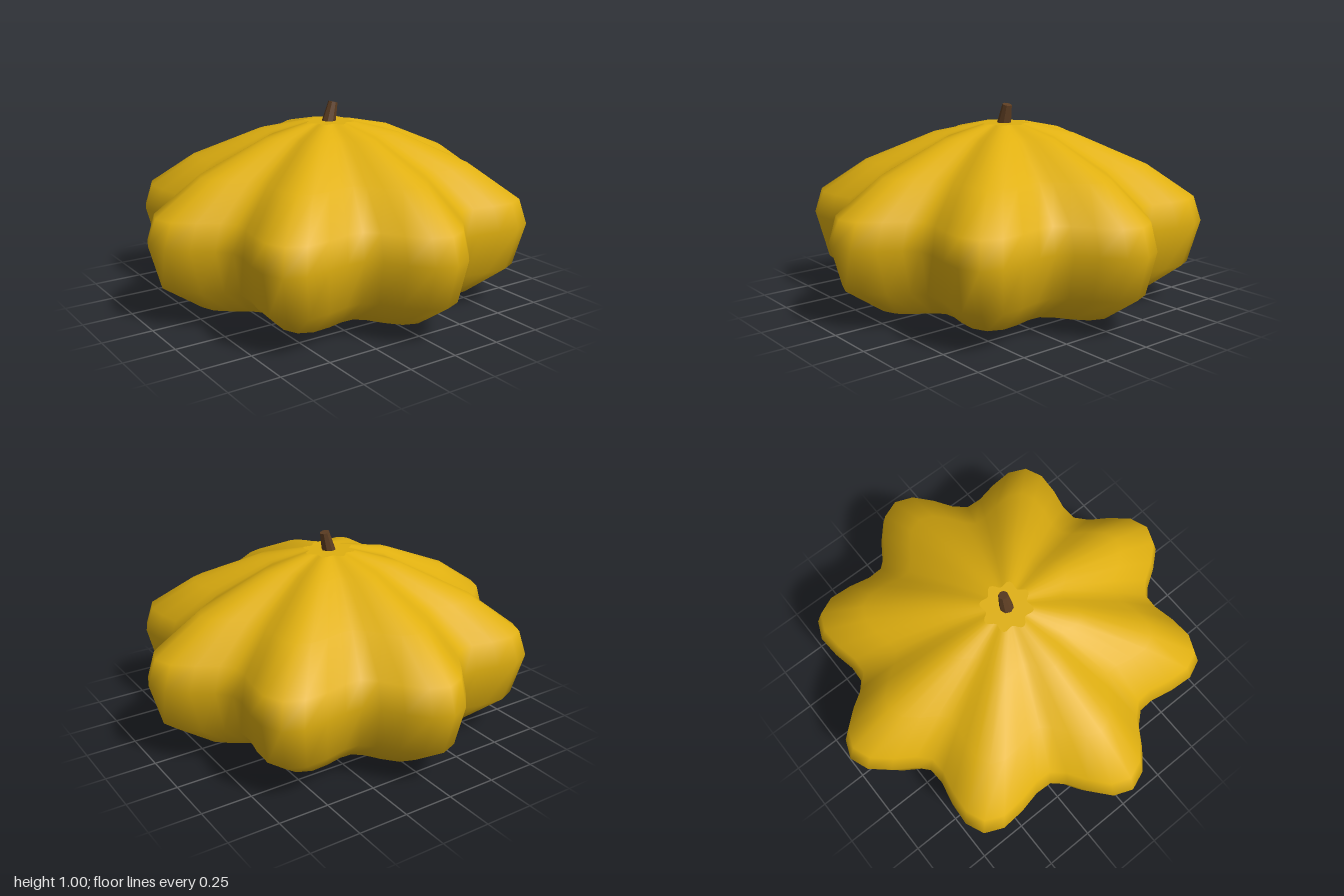
import * as THREE from 'three';

const SEGMENTS = 64;
const LOBES = 8;

// Side profile along a lobe crest, bottom to top: [radius, height]
const PROFILE = [
  [0.40, 0], [0.74, 0.06], [0.94, 0.20], [1.0, 0.415], [0.96, 0.54],
  [0.72, 0.70], [0.36, 0.85], [0.13, 0.90],
];

// Point on the scalloped outline
function lobePoint(radius, i) {
  const a = (i / SEGMENTS) * Math.PI * 2;
  const r = radius * (0.89 + 0.11 * Math.cos(LOBES * a));
  return [r * Math.sin(a), r * Math.cos(a)];
}

function makeGeometry(positions, indices) {
  const g = new THREE.BufferGeometry();
  g.setAttribute('position', new THREE.Float32BufferAttribute(positions, 3));
  g.setIndex(indices);
  g.computeVertexNormals();
  return g;
}

// Smooth ribbed side: one scalloped ring per profile point
function ribbedSide() {
  const positions = [], indices = [];
  PROFILE.forEach(([radius, y], row) => {
    for (let i = 0; i < SEGMENTS; i++) {
      const [x, z] = lobePoint(radius, i);
      positions.push(x, y, z);
      if (row === PROFILE.length - 1) continue;
      const a = row * SEGMENTS + i;
      const b = row * SEGMENTS + ((i + 1) % SEGMENTS);
      indices.push(a, b, b + SEGMENTS, a, b + SEGMENTS, a + SEGMENTS);
    }
  });
  return makeGeometry(positions, indices);
}

// Flat star-shaped cap closing the top or bottom
function starCap([radius, y], facingUp) {
  const positions = [0, y, 0], indices = [];
  for (let i = 0; i < SEGMENTS; i++) {
    const [x, z] = lobePoint(radius, i);
    positions.push(x, y, z);
    const a = 1 + i, b = 1 + ((i + 1) % SEGMENTS);
    if (facingUp) indices.push(0, a, b);
    else indices.push(0, b, a);
  }
  return makeGeometry(positions, indices);
}

export function createModel() {
  const skin = new THREE.MeshStandardMaterial({ color: 0xe0b010 });
  skin.name = 'golden skin';
  const wood = new THREE.MeshStandardMaterial({ color: 0x5c3d22, flatShading: true });
  wood.name = 'brown stem';

  const model = new THREE.Group();
  model.name = 'squash';
  const add = (name, geometry, material) => {
    const mesh = new THREE.Mesh(geometry, material);
    mesh.name = name;
    model.add(mesh);
    return mesh;
  };

  add('ribbedBody', ribbedSide(), skin);
  add('bottomCap', starCap(PROFILE[0], false), skin);
  add('topCap', starCap(PROFILE[PROFILE.length - 1], true), skin);

  // Short tapered stem leaning to the side
  const stem = add('stem', new THREE.CylinderGeometry(0.024, 0.037, 0.115, 8), wood);
  stem.position.set(0.011, 0.937, 0);
  stem.rotation.z = -0.25;

  return model;
}
